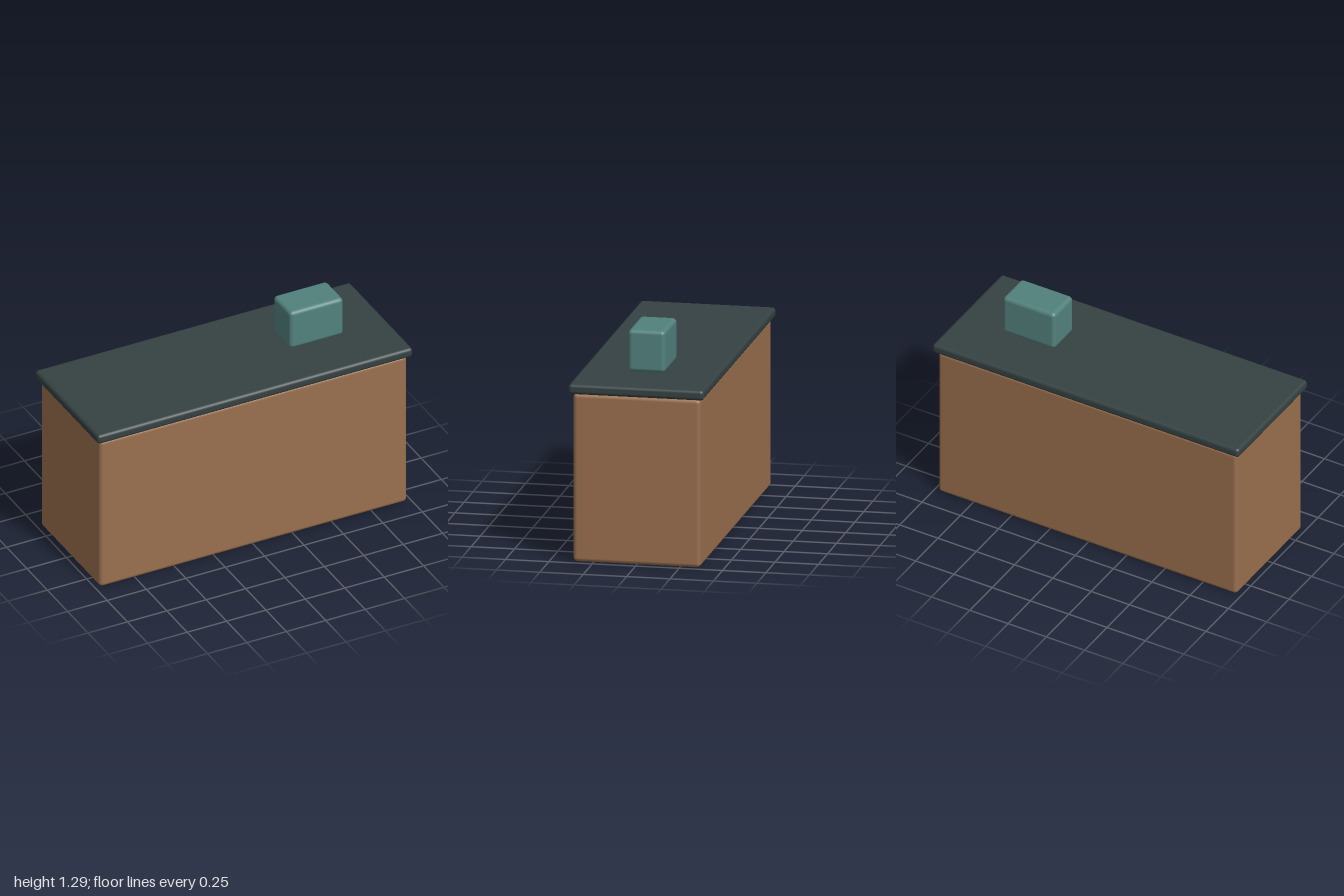
import * as THREE from 'three';
import { RoundedBoxGeometry } from 'three/addons/geometries/RoundedBoxGeometry.js';

function material(name, color) {
  const m = new THREE.MeshStandardMaterial({ color });
  m.name = name;
  return m;
}

export function createModel() {
  const group = new THREE.Group();
  group.name = 'counter';

  const wood = material('brown wood', 0x996f4e);
  const slate = material('dark slate', 0x354142);
  const teal = material('muted teal', 0x52817d);

  // Rounded block resting at height y
  function addBlock(name, [w, h, d], x, y, radius, mat) {
    const mesh = new THREE.Mesh(new RoundedBoxGeometry(w, h, d, 4, radius), mat);
    mesh.name = name;
    mesh.position.set(x, y + h / 2, 0);
    group.add(mesh);
  }

  // Counter body
  addBlock('counterBody', [1.95, 0.977, 0.734], 0, 0, 0.024, wood);
  // Overhanging worktop
  addBlock('counterTop', [2, 0.059, 0.78], 0, 0.977, 0.02, slate);
  // Register box, held just clear of the worktop
  addBlock('registerBox', [0.341, 0.244, 0.214], 0.536, 1.051, 0.024, teal);

  return group;
}
